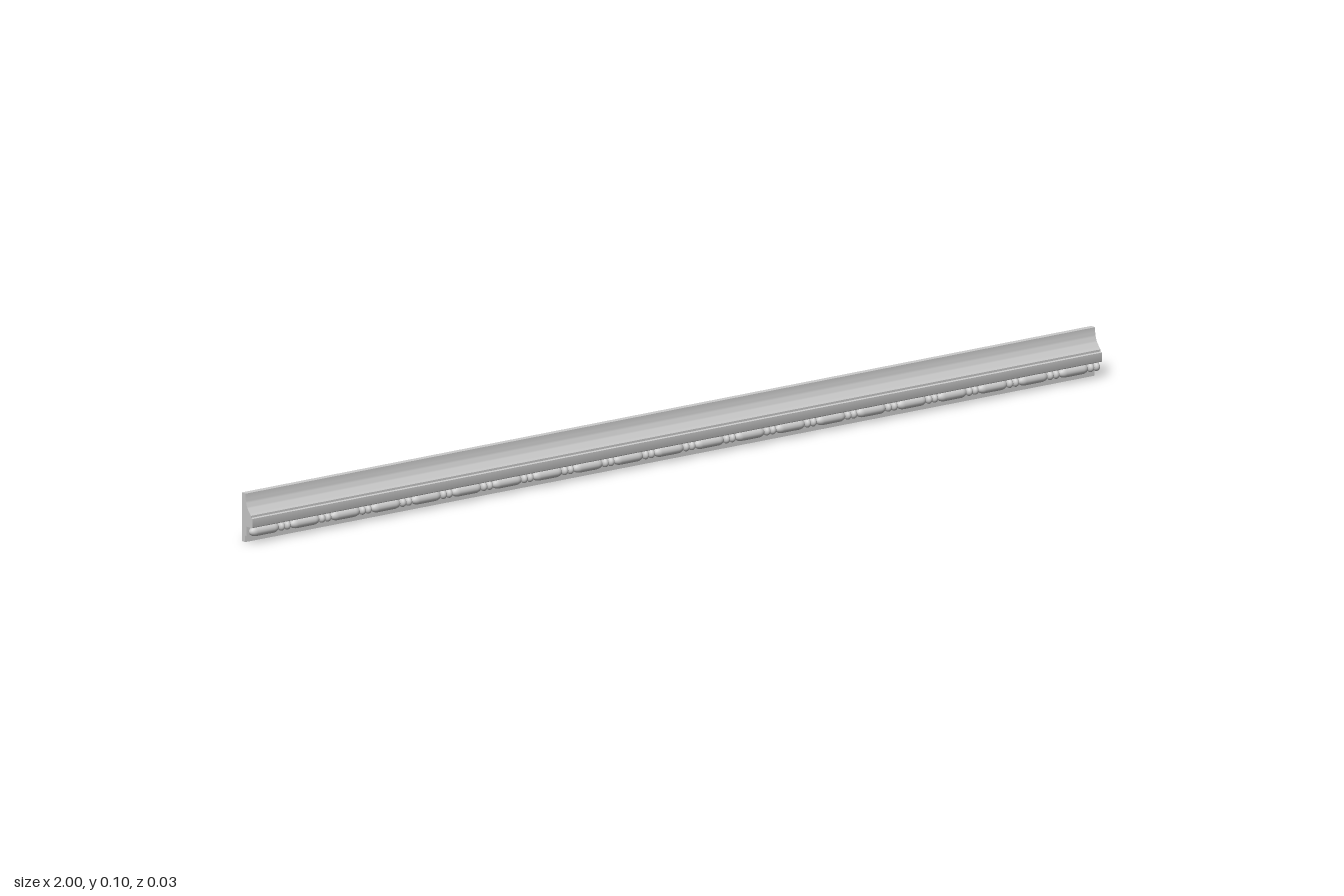
import * as THREE from 'three';
import { toCreasedNormals } from 'three/addons/utils/BufferGeometryUtils.js';

const material = new THREE.MeshStandardMaterial({ color: 0xcccccc });
const REPEATS = 21;
const PITCH = 2 / REPEATS;
const SPINDLE = 0.068;
const BEAD = (PITCH - SPINDLE) / 2;

// Cross-section of the moulding: x of the shape is depth, y is height
function mouldingGeometry() {
  const s = new THREE.Shape();
  s.moveTo(-0.016, 0);
  s.lineTo(-0.006, 0);
  s.lineTo(-0.006, 0.013);
  s.lineTo(-0.001, 0.013);
  s.lineTo(-0.001, 0.032);
  s.lineTo(0.014, 0.032);
  s.quadraticCurveTo(0.018, 0.032, 0.018, 0.036);
  s.lineTo(0.018, 0.051);
  s.lineTo(0.013, 0.052);
  s.lineTo(0.013, 0.056);
  s.bezierCurveTo(0.005, 0.064, -0.002, 0.07, -0.004, 0.086);
  s.lineTo(-0.004, 0.096);
  s.lineTo(-0.016, 0.096);
  s.closePath();
  const g = new THREE.ExtrudeGeometry(s, { depth: 2, bevelEnabled: false, curveSegments: 10 });
  g.rotateY(-Math.PI / 2).translate(1, 0, 0);
  return toCreasedNormals(g, 0.5);
}

// Turned piece lying along x, with rounded ends of length cap
function turnedGeometry(length, radius, cap) {
  const points = [];
  const steps = 6;
  for (const end of [-1, 1]) {
    for (let i = 0; i <= steps; i++) {
      const a = (end < 0 ? i : steps - i) / steps * Math.PI / 2;
      const y = end * (length / 2 - cap + cap * Math.cos(a));
      points.push(new THREE.Vector2(radius * Math.sin(a), y));
    }
  }
  // Drop the doubled middle point when the two caps meet
  if (length - 2 * cap < 1e-6) points.splice(steps, 1);
  return new THREE.LatheGeometry(points, 16).rotateZ(-Math.PI / 2);
}

export function createModel() {
  const model = new THREE.Group();
  model.name = 'beadedMoulding';

  const moulding = new THREE.Mesh(mouldingGeometry(), material);
  moulding.name = 'moulding';
  model.add(moulding);

  // Row of long spindles separated by pairs of small beads
  const row = new THREE.Group();
  row.name = 'beadRow';
  row.position.set(0, 0.0225, 0.008);
  const spindle = turnedGeometry(SPINDLE, 0.0095, 0.014);
  const bead = turnedGeometry(BEAD, 0.0088, BEAD / 2);
  const add = (geometry, name, x) => {
    const mesh = new THREE.Mesh(geometry, material);
    mesh.name = name;
    mesh.position.x = x;
    row.add(mesh);
  };
  for (let i = 0; i < REPEATS; i++) {
    const start = -1 + i * PITCH;
    add(spindle, 'spindle', start + SPINDLE / 2);
    add(bead, 'bead', start + SPINDLE + BEAD * 0.5);
    add(bead, 'bead', start + SPINDLE + BEAD * 1.5);
  }
  model.add(row);
  return model;
}
